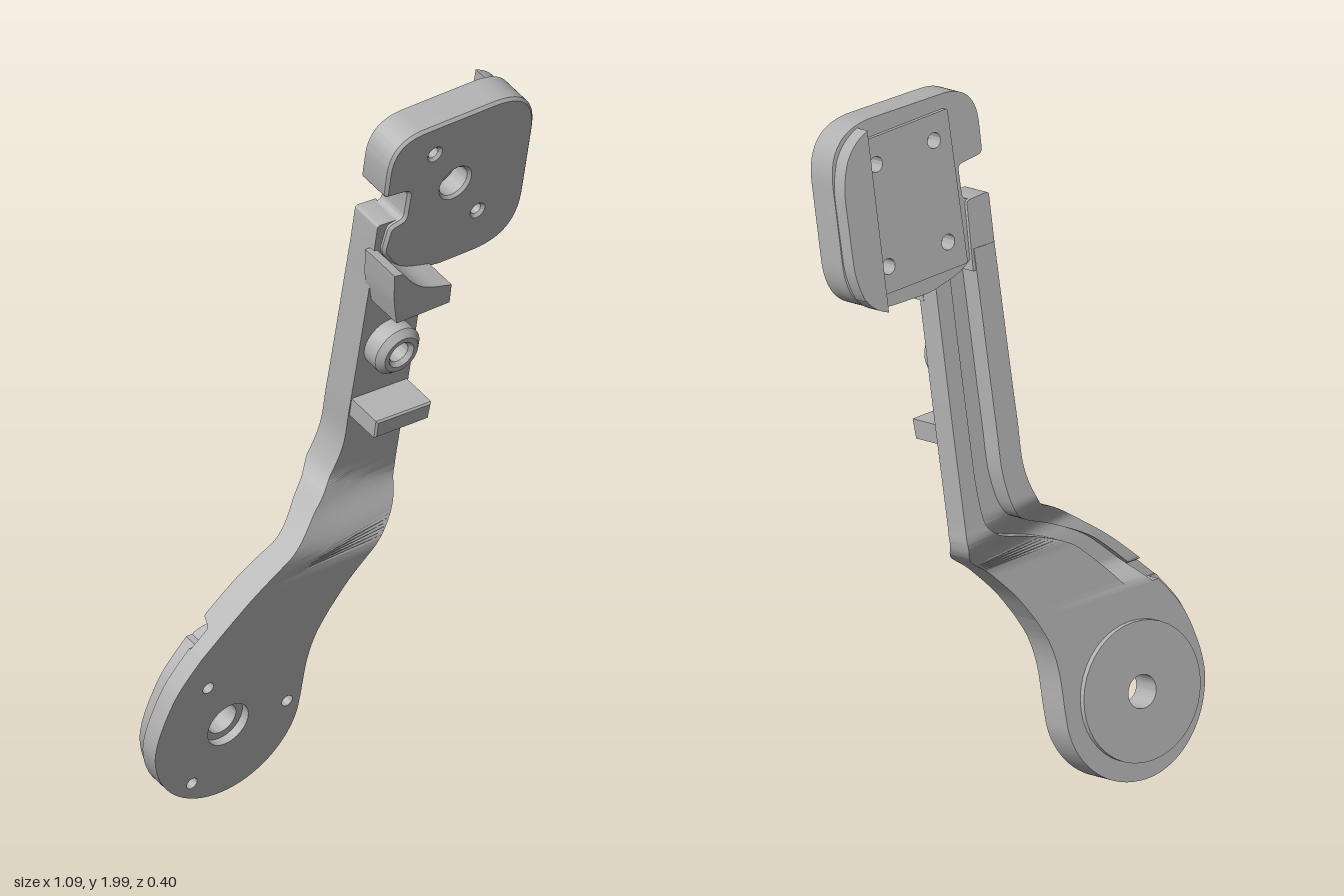
import * as THREE from 'three';
import { toCreasedNormals } from 'three/addons/utils/BufferGeometryUtils.js';

// All parts share one tilted plane: z = C + A*x + B*y, offset w along its normal.
const A = -0.24, B = 0.22, C = -0.233;
const K = Math.hypot(A, B, 1);
const N = new THREE.Vector3(-A, -B, 1).normalize();
const U = new THREE.Vector3(1, 0, A).normalize();
const V = new THREE.Vector3().crossVectors(N, U);

// Front-facing x, y on the plane at offset w -> 2D coordinates inside that plane
function local(x, y, w) {
  const p = new THREE.Vector3(x, y, A * x + B * y + w * K);
  return new THREE.Vector2(p.dot(U), p.dot(V));
}

// Polygon with rounded corners from [x, y, radius] points
function roundedShape(points, w) {
  const s = new THREE.Shape();
  const P = points.map(([x, y]) => local(x, y, w));
  P.forEach((p, i) => {
    const r = points[i][2] || 0;
    const before = P[(i + P.length - 1) % P.length], after = P[(i + 1) % P.length];
    const a = before.clone().sub(p).setLength(r).add(p);
    const b = after.clone().sub(p).setLength(r).add(p);
    if (i === 0) s.moveTo(a.x, a.y); else s.lineTo(a.x, a.y);
    if (r > 0) s.quadraticCurveTo(p.x, p.y, b.x, b.y);
  });
  s.closePath();
  return s;
}

function addHoles(shape, w, holes) {
  for (const [x, y, r] of holes) {
    const c = local(x, y, w);
    shape.holes.push(new THREE.Path().absarc(c.x, c.y, r, 0, Math.PI * 2, true));
  }
  return shape;
}

const mix = THREE.MathUtils.lerp;
const smooth = THREE.MathUtils.smoothstep;

// Neck and stem: [left x, right x, y] stations swept with a channelled section
function armGeometry() {
  const stations = new THREE.CatmullRomCurve3([
    [-0.42, -0.01, 0.5], [-0.345, 0.042, 0.575], [-0.265, 0.11, 0.65], [-0.15, 0.2, 0.74],
    [-0.075, 0.218, 0.8], [-0.01, 0.22, 0.85], [0.035, 0.224, 0.95], [0.045, 0.23, 1.1], [0.065, 0.245, 1.56],
  ].map((p) => new THREE.Vector3(...p)));
  const rings = stations.getPoints(96).map(({ x: left, y: right, z: y }) => {
    // The bend starts higher on the left edge
    const bend = (t) => smooth(y - 0.075 * (1 - t), 0.65, 0.81);
    const front = (t) => mix(0.095, -0.013, bend(t));
    const s = smooth(y, 0.65, 0.85);
    const back = -mix(0.095, 0.077, s);
    const rail = back + mix(0.012, -0.022, bend(0)) + 0.035 * (1 - smooth(y, 0.55, 0.565));
    const floor = back + 0.04 * smooth(y, 0.5, 0.58);
    const t1 = mix(0.1, 0.36, s), t2 = mix(0.28, 0.74, s);
    const l = local(left, y, front(0)), r = local(right, y, front(1));
    return [[0, 0], [t1, 0], [t2, 0], [1, 0], [1, back],
      [t2, back], [t2, floor], [t1, floor], [t1, rail], [0, rail]]
      .map(([t, d]) => [mix(l.x, r.x, t), mix(l.y, r.y, t), front(t) + d]);
  });
  const pos = [];
  const quad = (a, b, c, d) => pos.push(...a, ...b, ...c, ...a, ...c, ...d);
  for (let i = 0; i + 1 < rings.length; i++) {
    const lo = rings[i], hi = rings[i + 1];
    lo.forEach((p, j) => {
      const k = (j + 1) % lo.length;
      quad(p, lo[k], hi[k], hi[j]);
    });
  }
  const first = rings[0], last = rings[rings.length - 1];
  for (const [a, b, c, d] of [[0, 1, 8, 9], [1, 2, 6, 7], [2, 3, 4, 5]]) {
    quad(last[a], last[b], last[c], last[d]);
    quad(first[d], first[c], first[b], first[a]);
  }
  const g = new THREE.BufferGeometry();
  g.setAttribute('position', new THREE.Float32BufferAttribute(pos, 3));
  g.computeVertexNormals();
  return g;
}

// Teardrop outline of the lower paddle; inset narrows its left side
function paddleShape(inset) {
  const w = 0.095, cx = -0.305, cy = 0.233, r = 0.231;
  const pts = [[-0.42 + inset, 0.5], [-0.485 + inset, 0.41], [-0.523 + inset, 0.31]];
  for (let i = 0; i <= 12; i++) {
    const a = Math.PI * (1 + i / 12);
    pts.push([cx + r * Math.cos(a) + inset * Math.max(0, -Math.cos(a)), cy + r * Math.sin(a)]);
  }
  pts.push([-0.066, 0.35], [-0.046, 0.43], [-0.01, 0.5]);
  const P = pts.map(([x, y]) => local(x, y, w));
  const s = new THREE.Shape().moveTo(P[0].x, P[0].y);
  s.splineThru(P.slice(1));
  s.closePath();
  return s;
}

export function createModel() {
  const grey = new THREE.MeshStandardMaterial({ color: 0xb4b4b4 });
  grey.name = 'grey';
  const model = new THREE.Group();
  model.name = 'bracketArm';
  const frame = new THREE.Group();
  frame.name = 'tiltedFrame';
  frame.quaternion.setFromRotationMatrix(new THREE.Matrix4().makeBasis(U, V, N));
  frame.position.set(0, 0, C);
  model.add(frame);

  const add = (name, geometry) => {
    const mesh = new THREE.Mesh(toCreasedNormals(geometry, 0.5), grey);
    mesh.name = name;
    frame.add(mesh);
    return mesh;
  };
  // Extrusion between two offsets, keeping the outline when chamfered
  const slab = (name, shape, front, back, bevel = 0) => {
    const g = new THREE.ExtrudeGeometry(shape, {
      depth: front - back - 2 * bevel, curveSegments: 20, steps: 1,
      bevelEnabled: bevel > 0, bevelSize: bevel, bevelThickness: bevel, bevelOffset: -bevel, bevelSegments: 1,
    });
    g.translate(0, 0, back + bevel);
    return add(name, g);
  };

  add('neckAndStem', armGeometry());

  // Lower paddle in layers, with a counterbored centre hole and three pin holes
  const pins = [[-0.386, 0.39, 0.017], [-0.116, 0.233, 0.017], [-0.402, 0.074, 0.017]];
  const bore = [-0.305, 0.233];
  const W = 0.095;
  slab('paddleFace', addHoles(paddleShape(0), W, [...pins, [...bore, 0.066]]), W, 0.07);
  slab('paddleRim', addHoles(paddleShape(0), W, [[...bore, 0.045]]), 0.07, 0.042);
  slab('paddleBody', addHoles(paddleShape(0.022), W, [[...bore, 0.045]]), 0.042, 0);
  const c = local(...bore, W);
  const disc = new THREE.Shape().absarc(c.x, c.y, 0.188, 0, Math.PI * 2);
  slab('paddleBackDisc', addHoles(disc, W, [[...bore, 0.045]]), 0, -0.016);

  // Head block, with a chamfered front edge and blind holes from both sides
  const headOutline = () => roundedShape([
    [0.27, 1.48, 0.02], [0.528, 1.48, 0.15], [0.546, 1.975, 0.15], [0.075, 1.975, 0.11],
    [0.072, 1.79, 0.015], [0.15, 1.78, 0.015], [0.146, 1.69, 0.015], [0.1, 1.68, 0.015],
    [0.085, 1.6, 0.02], [0.15, 1.51, 0.06]], 0);
  const frontHoles = [[0.3, 1.75, 0.045], [0.22, 1.88, 0.016], [0.386, 1.62, 0.016]];
  const backHoles = [[0.185, 1.62, 0.021], [0.375, 1.61, 0.021], [0.385, 1.88, 0.021], [0.2, 1.89, 0.021]];
  slab('headFace', addHoles(headOutline(), 0, frontHoles), 0, -0.03, 0.008);
  slab('headMiddle', addHoles(headOutline(), 0, frontHoles), -0.009, -0.06);
  slab('headBack', addHoles(headOutline(), -0.11, backHoles), -0.06, -0.1);
  slab('headSideLip', roundedShape([
    [0.435, 1.482], [0.487, 1.5, 0.05], [0.528, 1.58, 0.06],
    [0.54, 1.85, 0.06], [0.505, 1.935, 0.05], [0.45, 1.962]], 0), -0.09, -0.145);
  slab('headBackPlate', addHoles(roundedShape([
    [0.13, 1.55, 0.01], [0.405, 1.54, 0.01], [0.42, 1.95, 0.01], [0.15, 1.96, 0.01]], -0.11), -0.11, backHoles), -0.1, -0.112);

  // Tab rising from the stem beside the head
  slab('stemTab', roundedShape([[0.065, 1.5], [0.14, 1.5], [0.14, 1.685, 0.01], [0.07, 1.69, 0.01]], 0), -0.015, -0.11);

  // Front lugs; the upper one cradles the head's lower corner
  slab('upperLug', roundedShape([
    [0.098, 1.42], [0.267, 1.42], [0.267, 1.48], [0.16, 1.51, 0.06],
    [0.1, 1.585], [0.072, 1.59], [0.08, 1.5, 0.03]], W), 0.095, -0.03);
  slab('lowerLug', roundedShape([
    [0.072, 1.04], [0.245, 1.035], [0.25, 1.088], [0.073, 1.095]], W), 0.095, -0.03, 0.005);

  // Hollow round boss on the stem
  const profile = [[0.03, -0.02], [0.03, 0.04], [0.04, 0.052], [0.054, 0.052], [0.072, 0.034], [0.072, -0.02]]
    .map(([r, h]) => new THREE.Vector2(r, h)).reverse();
  const boss = add('stemBoss', new THREE.LatheGeometry(profile, 32).rotateX(Math.PI / 2));
  const b = local(0.155, 1.262, 0.05);
  boss.position.set(b.x, b.y, 0);

  return model;
}
